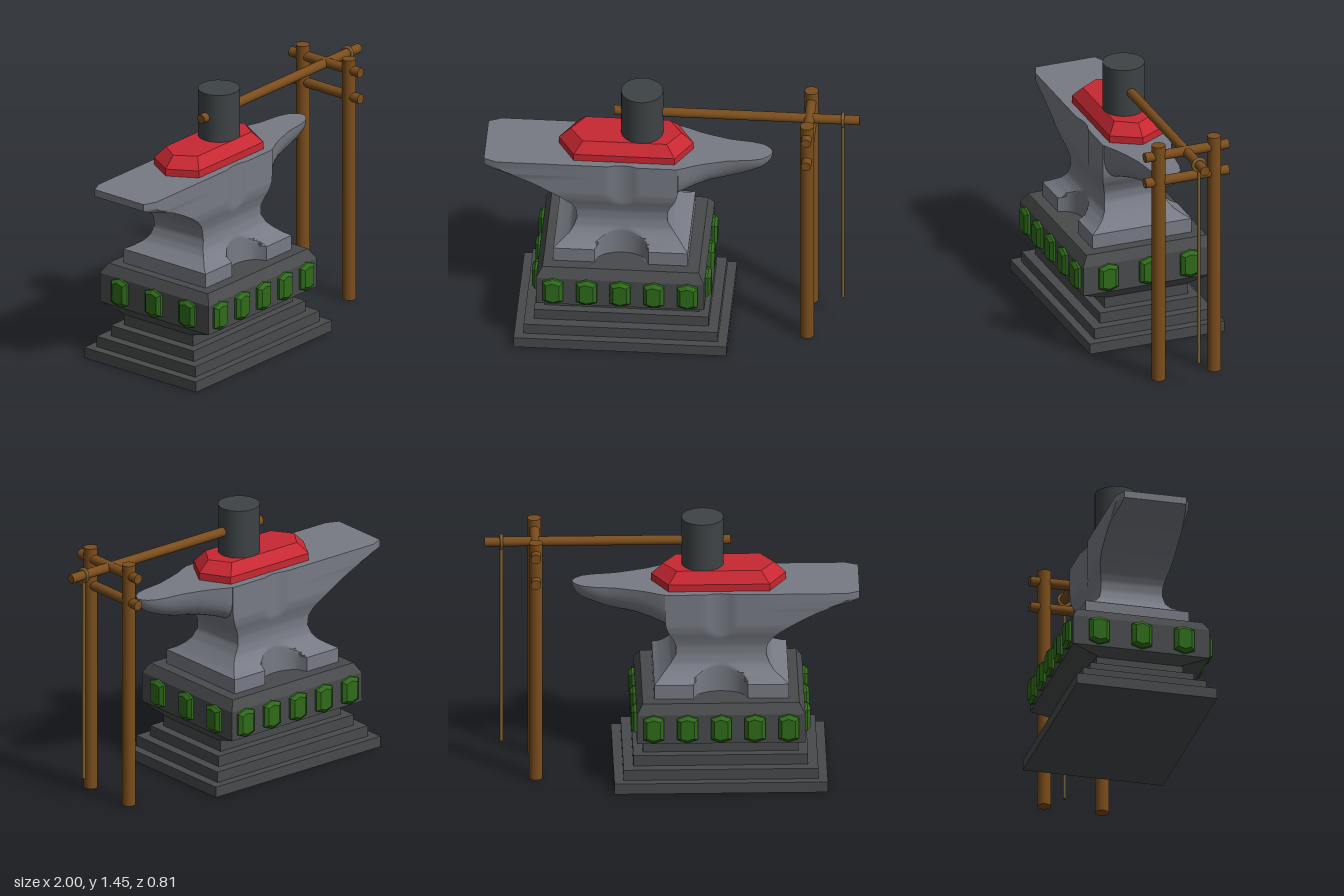
import * as THREE from 'three';
import { toCreasedNormals } from 'three/addons/utils/BufferGeometryUtils.js';

const CX = -0.255; // centre of anvil and plinth
const mat = (color) => new THREE.MeshStandardMaterial({ color });
const stone = mat(0x484a4b), steel = mat(0x777a84), gemGreen = mat(0x2f6b1a);
const red = mat(0xc82832), wood = mat(0x7a4d1c), twine = mat(0x7d6030), iron = mat(0x3e4345);

// Joins equal-length rings of [x, y, z] points and closes both ends
function loft(rings, crease = 0.1) {
  const n = rings[0].length, pos = [], idx = [];
  for (const ring of rings) for (const p of ring) pos.push(...p);
  for (let i = 0; i < rings.length - 1; i++) {
    for (let j = 0; j < n; j++) {
      const a = i * n + j, b = i * n + (j + 1) % n;
      idx.push(a, b, b + n, a, b + n, a + n);
    }
  }
  for (const last of [false, true]) {
    const ring = rings[last ? rings.length - 1 : 0];
    const start = last ? (rings.length - 1) * n : 0;
    const centre = pos.length / 3;
    for (let k = 0; k < 3; k++) pos.push(ring.reduce((s, p) => s + p[k], 0) / n);
    for (let j = 0; j < n; j++) {
      const a = start + j, b = start + (j + 1) % n;
      idx.push(centre, last ? a : b, last ? b : a);
    }
  }
  const geo = new THREE.BufferGeometry();
  geo.setAttribute('position', new THREE.Float32BufferAttribute(pos, 3));
  geo.setIndex(idx);
  return toCreasedNormals(geo, crease);
}

const rect = (hx, y, hz) => [[hx, y, hz], [hx, y, -hz], [-hx, y, -hz], [-hx, y, hz]];

// Hexagon pointed along x: tip half length, shoulder half length, half width
const hexagon = (tip, shoulder, w, y) => [
  [tip, y, 0], [shoulder, y, -w], [-shoulder, y, -w],
  [-tip, y, 0], [-shoulder, y, w], [shoulder, y, w],
];

// Anvil foot, waist and heel: rows of y, heel-side x, horn-side x, half depth
const BODY = [
  [0.51, -0.62, 0.10, 0.285], [0.59, -0.62, 0.10, 0.285], [0.61, -0.585, 0.072, 0.245],
  [0.64, -0.54, 0.04, 0.205], [0.67, -0.518, 0.012, 0.182], [0.72, -0.5, -0.018, 0.17],
  [0.77, -0.507, -0.018, 0.17], [0.81, -0.53, -0.002, 0.18], [0.85, -0.572, 0.02, 0.193],
  [0.89, -0.63, 0.035, 0.2], [0.93, -0.7, 0.04, 0.2], [0.97, -0.78, 0.04, 0.2],
  [1.0, -0.87, 0.04, 0.2], [1.02, -0.95, 0.04, 0.2], [1.04, -1, 0.04, 0.2], [1.08, -1, 0.04, 0.2],
];

function bodyGeometry() {
  const section = ([y, x0, x1, hz]) => {
    const cut = THREE.MathUtils.clamp((-0.8 - x0) / 0.2, 0, 1); // clipped heel corners
    const side = [[x0, hz - 0.03 * cut], [x0 + 0.01 + 0.06 * cut, hz]];
    // scalloped recess in the middle of the foot
    for (let i = 0; i <= 16; i++) {
      const t = i / 8 - 1;
      side.push([CX + 0.145 * t, Math.min(hz, 0.285 - 0.1 * Math.sqrt(1 - t * t))]);
    }
    side.push([x1, hz]);
    return [
      ...side.slice().reverse().map(([x, z]) => [x, y, -z]),
      ...side.map(([x, z]) => [x, y, z]),
    ];
  };
  const rings = [];
  BODY.forEach((row, i) => {
    const next = BODY[i + 1];
    const steps = next ? 3 : 1;
    for (let s = 0; s < steps; s++) {
      rings.push(section(next ? row.map((v, k) => v + (next[k] - v) * s / steps) : row));
    }
  });
  return loft(rings, 0.6);
}

// Horn: rows of x, half width, underside height
const HORN = [
  [0.03, 0.2, 0.87], [0.07, 0.185, 0.885], [0.13, 0.155, 0.9], [0.2, 0.13, 0.912],
  [0.3, 0.1, 0.927], [0.36, 0.092, 0.945], [0.42, 0.085, 0.968], [0.48, 0.068, 0.995],
  [0.51, 0.045, 1.02], [0.525, 0.025, 1.04], [0.532, 0.01, 1.06],
];

function hornGeometry() {
  return loft(HORN.map(([x, w, low]) => {
    const power = 2 / THREE.MathUtils.clamp(4 - (x - 0.03) * 10, 2, 4);
    return Array.from({ length: 19 }, (_, i) => {
      const c = Math.cos(Math.PI * i / 18), s = Math.max(0, Math.sin(Math.PI * i / 18));
      return [x, 1.08 - (1.08 - low) * s ** power, w * Math.sign(c) * Math.abs(c) ** power];
    });
  }), 0.7);
}

export function createModel() {
  const model = new THREE.Group();
  const add = (name, geo, material, x = 0, y = 0, z = 0, parent = model) => {
    const mesh = new THREE.Mesh(geo, material);
    mesh.name = name;
    mesh.position.set(x, y, z);
    parent.add(mesh);
    return mesh;
  };
  const rod = (name, r, length, material, x, y, z, axis = 'y') => {
    const mesh = add(name, new THREE.CylinderGeometry(r, r, length, 24), material, x, y, z);
    if (axis === 'x') mesh.rotation.z = Math.PI / 2;
    if (axis === 'z') mesh.rotation.x = Math.PI / 2;
    return mesh;
  };

  // Stepped plinth
  [[0.57, 0.387], [0.52, 0.342], [0.467, 0.287], [0.415, 0.24]].forEach(([hx, hz], i) =>
    add('plinthStep', new THREE.BoxGeometry(hx * 2, 0.06, hz * 2), stone, CX, 0.03 + 0.06 * i, 0));

  // Bevelled block on the plinth
  add('plinthBlock', loft([
    rect(0.415, 0.24, 0.22), rect(0.45, 0.29, 0.377), rect(0.45, 0.455, 0.377), rect(0.418, 0.51, 0.345),
  ]), stone, CX);

  // Faceted gems around the block
  const gemGeo = loft([
    hexagon(0.08, 0.06, 0.055, -0.01), hexagon(0.08, 0.06, 0.055, 0.013), hexagon(0.06, 0.048, 0.036, 0.029),
  ]).rotateY(Math.PI / 2).rotateX(Math.PI / 2);
  const gems = new THREE.Group();
  gems.name = 'gems';
  gems.position.set(CX, 0.378, 0);
  model.add(gems);
  for (const s of [1, -1]) {
    for (let i = -2; i <= 2; i++) {
      add('sideGem', gemGeo, gemGreen, i * 0.18, 0, s * 0.377, gems).rotation.y = s > 0 ? 0 : Math.PI;
    }
    for (let i = -1; i <= 1; i++) {
      add('endGem', gemGeo, gemGreen, s * 0.45, 0, i * 0.235, gems).rotation.y = s * Math.PI / 2;
    }
  }

  // Anvil
  add('anvilBody', bodyGeometry(), steel);
  add('anvilHorn', hornGeometry(), steel);

  // Large cut jewel lying on the anvil
  add('redJewel', loft([
    hexagon(0.36, 0.27, 0.155, 1.08), hexagon(0.36, 0.27, 0.155, 1.12), hexagon(0.297, 0.225, 0.11, 1.18),
  ]), red, -0.25);

  // Hammer with a long handle
  rod('hammerHead', 0.113, 0.27, iron, -0.165, 1.315, 0);
  rod('hammerHandle', 0.026, 1.315, wood, 0.3425, 1.315, 0, 'x');

  // Support frame
  for (const s of [1, -1]) rod('framePost', 0.037, 1.38, wood, 0.73, 0.69, s * 0.16);
  for (const y of [1.318, 1.167]) rod('crossbar', 0.027, 0.48, wood, 0.73, y, 0, 'z');

  // Pull cord looped over the handle
  rod('cord', 0.009, 1.14, twine, 0.91, 0.715, 0);
  add('cordLoop', new THREE.TorusGeometry(0.033, 0.009, 10, 28), twine, 0.91, 1.315, 0).rotation.y = Math.PI / 2;

  return model;
}
